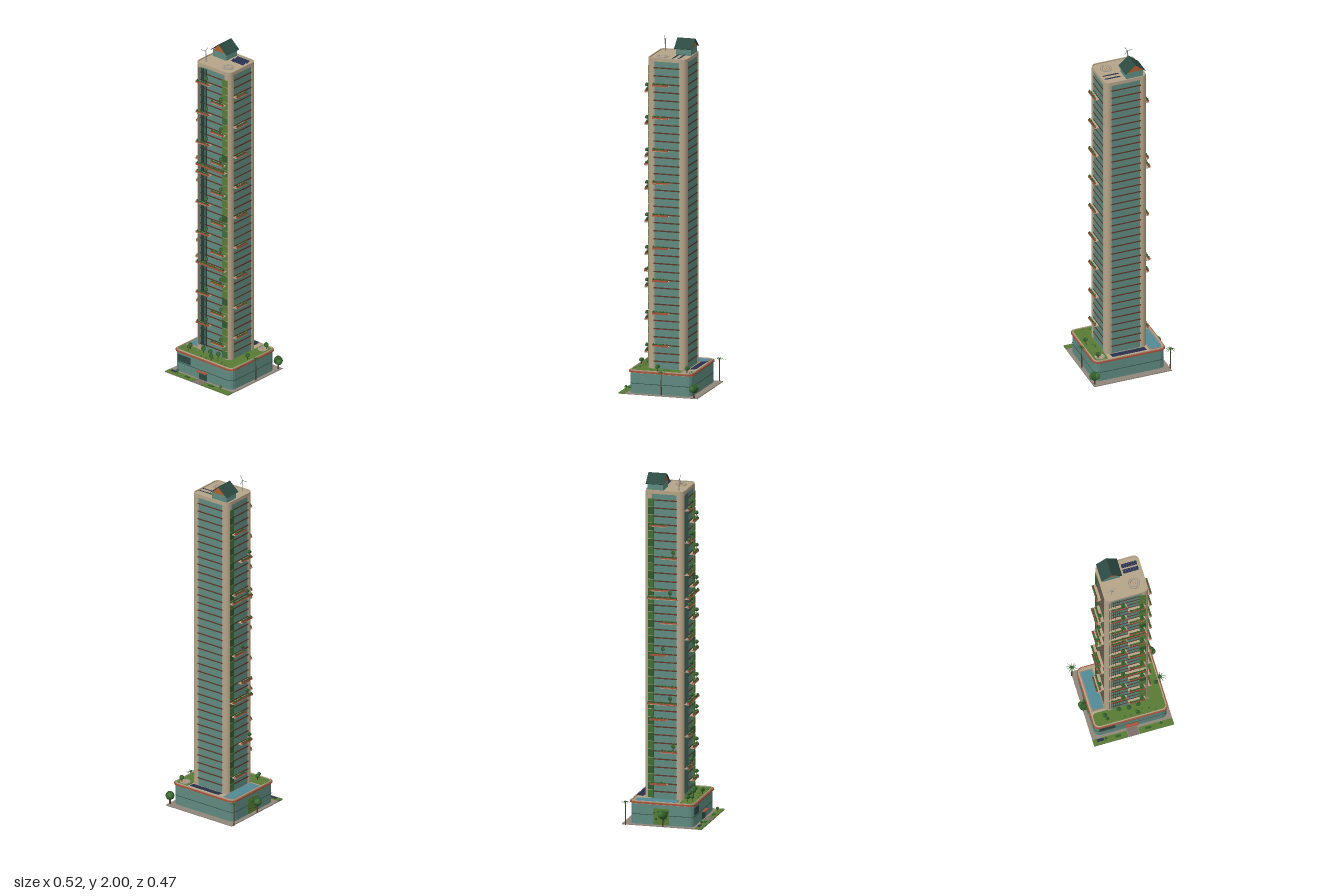
import * as THREE from 'three';

const C = { glass: 0x5f8a80, dark: 0x2c4a42, stone: 0xb5a488, brick: 0xa8523a, brown: 0x5e3628, lawn: 0x587c34,
  leaf: 0x2f5a2a, leaf2: 0x3f6f34, water: 0x4f8a96, solar: 0x27304f, pave: 0x8f857a, path: 0x7a7068,
  metal: 0x8d9296, wood: 0x5a4030, pink: 0xc0607a, orange: 0xb0602c };
const mats = {};
const mat = (c, flat) => (mats[c + (flat ? 'f' : '')] ??= new THREE.MeshStandardMaterial({ color: C[c], flatShading: !!flat, side: THREE.DoubleSide }));
let seed = 7;
const rnd = () => (seed = (seed * 16807) % 2147483647) / 2147483647;

function add(parent, name, geo, c, x = 0, y = 0, z = 0, flat = false) {
  const m = new THREE.Mesh(geo, mat(c, flat));
  m.name = name;
  m.position.set(x, y, z);
  parent.add(m);
  return m;
}
// Box given by its bounds
const box = (p, name, c, x0, x1, y0, y1, z0, z1) =>
  add(p, name, new THREE.BoxGeometry(x1 - x0, y1 - y0, z1 - z0), c, (x0 + x1) / 2, (y0 + y1) / 2, (z0 + z1) / 2);

// Plan outline with rounded (or chamfered, seg = 1) corners
function outline(Type, x0, x1, z0, z1, r, seg) {
  const s = new Type(), pts = [];
  [[x1 - r, z1 - r], [x0 + r, z1 - r], [x0 + r, z0 + r], [x1 - r, z0 + r]].forEach(([cx, cz], k) => {
    for (let i = 0; i <= seg; i++) {
      const a = (k + i / seg) * Math.PI / 2;
      pts.push(new THREE.Vector2(cx + r * Math.cos(a), -(cz + r * Math.sin(a))));
    }
  });
  return s.setFromPoints(pts);
}
function slab(p, name, c, [x0, x1, z0, z1], r, y0, y1, seg = 5, rim = 0) {
  const s = outline(THREE.Shape, x0, x1, z0, z1, r, seg);
  if (rim) s.holes.push(outline(THREE.Path, x0 + rim, x1 - rim, z0 + rim, z1 - rim, Math.max(r - rim, 0.004), seg));
  const g = new THREE.ExtrudeGeometry(s, { depth: y1 - y0, bevelEnabled: false }).rotateX(-Math.PI / 2);
  return add(p, name, g, c, 0, y0, 0);
}
const grow = ([a, b, c, d], e) => [a - e, b + e, c - e, d + e];

function shrub(p, x, y, z, r, c = 'leaf') {
  const m = add(p, 'shrub', new THREE.IcosahedronGeometry(r, 0), c, x, y, z, true);
  m.rotation.set(rnd() * 3, rnd() * 3, 0);
}
function tree(p, x, y, z, h, r) {
  const g = new THREE.Group();
  g.name = 'tree';
  add(g, 'trunk', new THREE.CylinderGeometry(r * 0.12, r * 0.18, h, 6), 'wood', 0, h / 2, 0);
  [[0, 0, 0, 0.85], [0.35, -0.1, 0.2, 0.65], [-0.3, 0.1, -0.3, 0.65]].forEach(([a, b, d, s], i) => {
    const m = add(g, 'foliage', new THREE.IcosahedronGeometry(r * s, 1), i ? 'leaf2' : 'leaf', a * r, h + b * r, d * r, true);
    m.rotation.y = rnd() * 6;
  });
  g.position.set(x, y, z);
  p.add(g);
}
function palm(p, x, z, h) {
  const g = new THREE.Group();
  g.name = 'palm';
  add(g, 'trunk', new THREE.CylinderGeometry(0.002, 0.004, h, 6), 'wood', 0, h / 2, 0);
  for (let i = 0; i < 10; i++) {
    const f = new THREE.PlaneGeometry(0.034, 0.006, 3, 1).rotateX(-Math.PI / 2).translate(0.017, 0, 0);
    const v = f.attributes.position;
    for (let k = 0; k < v.count; k++) {
      const t = v.getX(k) / 0.034;
      v.setY(k, 0.02 * t * (0.7 - t));
      v.setZ(k, v.getZ(k) * (1 - t * 0.9));
    }
    add(g, 'frond', f, 'leaf', 0, h, 0, true).rotation.y = i * Math.PI / 5 + rnd() * 0.2;
  }
  g.position.set(x, 0, z);
  p.add(g);
}

// Planted balcony: runs along local x, projects along local +z
function balcony(p, x, y, z, turn, w, withTree) {
  const g = new THREE.Group(), h = w / 2;
  g.name = 'balcony';
  slab(g, 'balconyFloor', 'stone', [-h, h, -0.004, 0.026], 0.006, -0.004, 0, 2);
  box(g, 'planter', 'brick', -h + 0.004, h - 0.004, -0.004, 0.007, 0.015, 0.026);
  box(g, 'hedge', 'leaf', -h + 0.008, h - 0.008, 0.007, 0.01, 0.017, 0.024);
  const n = Math.round(w / 0.022);
  for (let i = 0; i < n; i++) shrub(g, -h + 0.012 + (w - 0.024) * i / (n - 1), 0.012, 0.02, 0.004 + rnd() * 0.003, i % 3 ? 'leaf2' : 'leaf');
  shrub(g, (rnd() - 0.5) * w * 0.6, 0.012, 0.022, 0.003, 'pink');
  if (withTree) tree(g, h * 0.5, 0.004, 0.018, 0.034, 0.013);
  g.position.set(x, y, z);
  g.rotation.y = turn;
  p.add(g);
}
// Row of solar modules
function solarRow(p, x0, x1, z, y, n, depth, tilt) {
  const w = (x1 - x0) / n;
  for (let i = 0; i < n; i++)
    add(p, 'solarPanel', new THREE.BoxGeometry(w * 0.94, 0.002, depth), 'solar', x0 + w * (i + 0.5), y, z).rotation.x = tilt;
}
function ringPad(p, x, y, z, r) {
  add(p, 'pad', new THREE.CylinderGeometry(r, r, 0.002, 24), 'stone', x, y + 0.001, z);
  for (const k of [0.95, 0.65]) add(p, 'padRing', new THREE.TorusGeometry(r * k, 0.0015, 4, 24).rotateX(Math.PI / 2), 'metal', x, y + 0.002, z);
  for (const s of [-1, 1]) box(p, 'padMark', 'orange', x + s * 0.006 - 0.001, x + s * 0.006 + 0.001, y, y + 0.003, z - 0.007, z + 0.007);
}

export function createModel() {
  const root = new THREE.Group();
  root.name = 'gardenTower';
  const part = n => { const g = new THREE.Group(); g.name = n; root.add(g); return g; };

  // Ground
  const ground = part('ground');
  box(ground, 'foundation', 'brown', -0.19, 0.2, 0, 0.003, -0.185, 0.185);
  box(ground, 'paving', 'pave', -0.228, 0.236, 0.001, 0.006, -0.226, 0.235);
  for (const [a, b] of [[-0.228, -0.03], [0.038, 0.236]]) box(ground, 'frontLawn', 'lawn', a, b, 0.002, 0.008, 0.197, 0.235);
  box(ground, 'entrancePath', 'path', -0.026, 0.034, 0.002, 0.0075, 0.185, 0.235);
  box(ground, 'groundSolar', 'solar', -0.205, -0.165, 0.012, 0.014, 0.202, 0.218);
  for (const x of [-0.083, 0.092]) box(ground, 'bench', 'leaf', x - 0.016, x + 0.016, 0.007, 0.012, 0.208, 0.22);
  for (const x of [-0.155, 0.165]) tree(ground, x, 0.006, 0.214, 0.022, 0.009);
  tree(ground, -0.225, 0.004, 0.01, 0.066, 0.03);
  tree(ground, 0.225, 0.004, -0.203, 0.054, 0.03);
  palm(ground, -0.228, -0.205, 0.132);
  palm(ground, 0.226, -0.012, 0.136);

  // Podium
  const pod = part('podium'), P = [-0.205, 0.215, -0.185, 0.18];
  slab(pod, 'podiumWalls', 'glass', P, 0.03, 0.004, 0.124, 3);
  slab(pod, 'podiumBand', 'dark', grow(P, 0.001), 0.03, 0.06, 0.063, 3);
  slab(pod, 'podiumDeck', 'stone', grow(P, 0.004), 0.03, 0.122, 0.13, 3);
  slab(pod, 'podiumRim', 'brick', grow(P, 0.007), 0.034, 0.124, 0.133, 3, 0.006);
  slab(pod, 'podiumParapet', 'stone', grow(P, 0), 0.03, 0.13, 0.138, 3, 0.005);
  box(pod, 'entranceDoors', 'dark', -0.026, 0.034, 0.006, 0.05, 0.17, 0.182);
  box(pod, 'entranceCanopy', 'brick', -0.034, 0.042, 0.052, 0.056, 0.17, 0.198);
  box(pod, 'frontScreen', 'dark', -0.18, -0.09, 0.068, 0.11, 0.17, 0.182);
  box(pod, 'greenWall', 'lawn', -0.208, -0.2, 0.008, 0.1, -0.05, 0.04);
  for (let i = 0; i < 8; i++) shrub(pod, -0.208, 0.02 + rnd() * 0.07, -0.045 + i * 0.011, 0.008, i % 2 ? 'leaf' : 'leaf2');
  slab(pod, 'terraceLawn', 'lawn', [-0.198, 0.209, 0.092, 0.174], 0.02, 0.13, 0.134, 3);
  slab(pod, 'sideLawn', 'lawn', [0.13, 0.209, -0.178, 0.12], 0.02, 0.13, 0.134, 3);
  box(pod, 'poolSurround', 'pave', -0.196, -0.12, 0.13, 0.134, -0.168, 0.078);
  box(pod, 'poolWater', 'water', -0.189, -0.127, 0.13, 0.1355, -0.161, 0.071);
  solarRow(pod, -0.097, 0.107, -0.159, 0.14, 12, 0.038, 0.12);
  ringPad(pod, 0.168, 0.134, -0.138, 0.03);
  for (const [x, z, r] of [[-0.135, 0.128, 0.015], [-0.127, 0.152, 0.012], [-0.05, 0.116, 0.015], [0.006, 0.122, 0.015],
    [0.06, 0.116, 0.015], [0.047, 0.162, 0.014], [0.192, 0.02, 0.014], [0.183, -0.15, 0.016]]) tree(pod, x, 0.133, z, 0.028, r);
  for (let i = 0; i < 10; i++) shrub(pod, i < 6 ? -0.03 + i * 0.036 : 0.145 + rnd() * 0.05, 0.136, i < 6 ? 0.135 + rnd() * 0.03 : 0.1 - i * 0.015, 0.006, 'leaf2');

  // Tower shaft: glazed core, floor bands and rounded corner columns
  const tower = part('tower'), T = [-0.122, 0.13, -0.125, 0.1], top = 1.9, floor = 0.0465;
  slab(tower, 'glazing', 'glass', grow(T, -0.003), 0.026, 0.13, 1.888);
  for (let y = 0.176; y < 1.88; y += floor) slab(tower, 'floorBand', 'brown', grow(T, -0.001), 0.027, y - 0.004, y + 0.003, 4);
  for (const x of [T[0] + 0.028, T[1] - 0.028]) for (const z of [T[2] + 0.028, T[3] - 0.028])
    add(tower, 'cornerColumn', new THREE.CylinderGeometry(0.0285, 0.0285, 1.77, 24), 'stone', x, 1.01, z);
  slab(tower, 'roofSlab', 'stone', T, 0.028, 1.885, top);
  slab(tower, 'roofCurb', 'stone', T, 0.028, top, 1.906, 5, 0.006);
  // Planted wall strips and shading fins
  for (let i = 0; i < 37; i++) {
    const y = 0.14 + i * floor, c = ['lawn', 'leaf', 'leaf2', 'lawn'][Math.floor(rnd() * 4)];
    box(tower, 'greenPanel', c, 0.074, 0.113, y, y + 0.043, 0.09, 0.101);
    box(tower, 'greenPanel', i % 2 ? 'leaf' : 'leaf2', -0.123, -0.112, y, y + 0.043, -0.105, -0.072);
  }
  for (let i = 0; i < 6; i++) box(tower, 'shadingFin', 'dark', -0.1 + i * 0.012, -0.0988 + i * 0.012, 0.17, 1.88, 0.09, 0.105);
  add(tower, 'downpipe', new THREE.CylinderGeometry(0.002, 0.002, 1.7, 6), 'dark', -0.065, 1.03, 0.106);

  // Balconies on three sides
  const bal = part('balconies');
  for (let i = 0; i < 9; i++) {
    const y = 0.312 + i * 0.1855;
    balcony(bal, -0.052, y, 0.1, 0, 0.1, true);
    balcony(bal, 0.056, y - 0.093, 0.1, 0, 0.1, true);
    balcony(bal, 0.13, y - 0.045, 0.02, Math.PI / 2, 0.1, false);
    balcony(bal, -0.122, y - 0.09, i % 2 ? 0.02 : -0.04, -Math.PI / 2, 0.1, i % 3 === 1);
  }
  for (const y of [0.682, 1.288]) {
    balcony(bal, 0.004, y, 0.1, 0, 0.215, false);
    balcony(bal, -0.122, y, -0.018, -Math.PI / 2, 0.18, true);
  }

  // Roof: gabled house, solar rows, pad and wind turbine
  const roof = part('roof'), rx = -0.052;
  box(roof, 'houseWalls', 'glass', rx - 0.05, rx + 0.05, top, 1.94, -0.113, -0.024);
  const gable = new THREE.Shape([[-0.05, 0], [0.05, 0], [0, 0.045]].map(a => new THREE.Vector2(...a)));
  add(roof, 'gable', new THREE.ExtrudeGeometry(gable, { depth: 0.089, bevelEnabled: false }), 'orange', rx, 1.94, -0.113);
  for (const s of [-1, 1]) {
    const r = add(roof, 'roofSlope', new THREE.BoxGeometry(0.079, 0.003, 0.106), 'dark', rx + s * 0.0295, 1.9625, -0.069);
    r.rotation.z = -s * Math.atan2(0.05, 0.059);
  }
  for (const z of [-0.08, -0.047]) solarRow(roof, 0.022, 0.112, z, 1.908, 6, 0.023, 0.4);
  ringPad(roof, 0.063, top, 0.034, 0.033);
  add(roof, 'turbineMast', new THREE.CylinderGeometry(0.0015, 0.0025, 0.068, 6), 'metal', -0.078, 1.934, 0.062);
  add(roof, 'turbineHub', new THREE.SphereGeometry(0.004, 8, 6), 'metal', -0.078, 1.968, 0.064);
  for (let i = 0; i < 3; i++)
    add(roof, 'turbineBlade', new THREE.BoxGeometry(0.003, 0.03, 0.001).translate(0, 0.016, 0), 'metal', -0.078, 1.968, 0.066).rotation.z = Math.PI / 2 + i * Math.PI * 2 / 3;
  return root;
}
